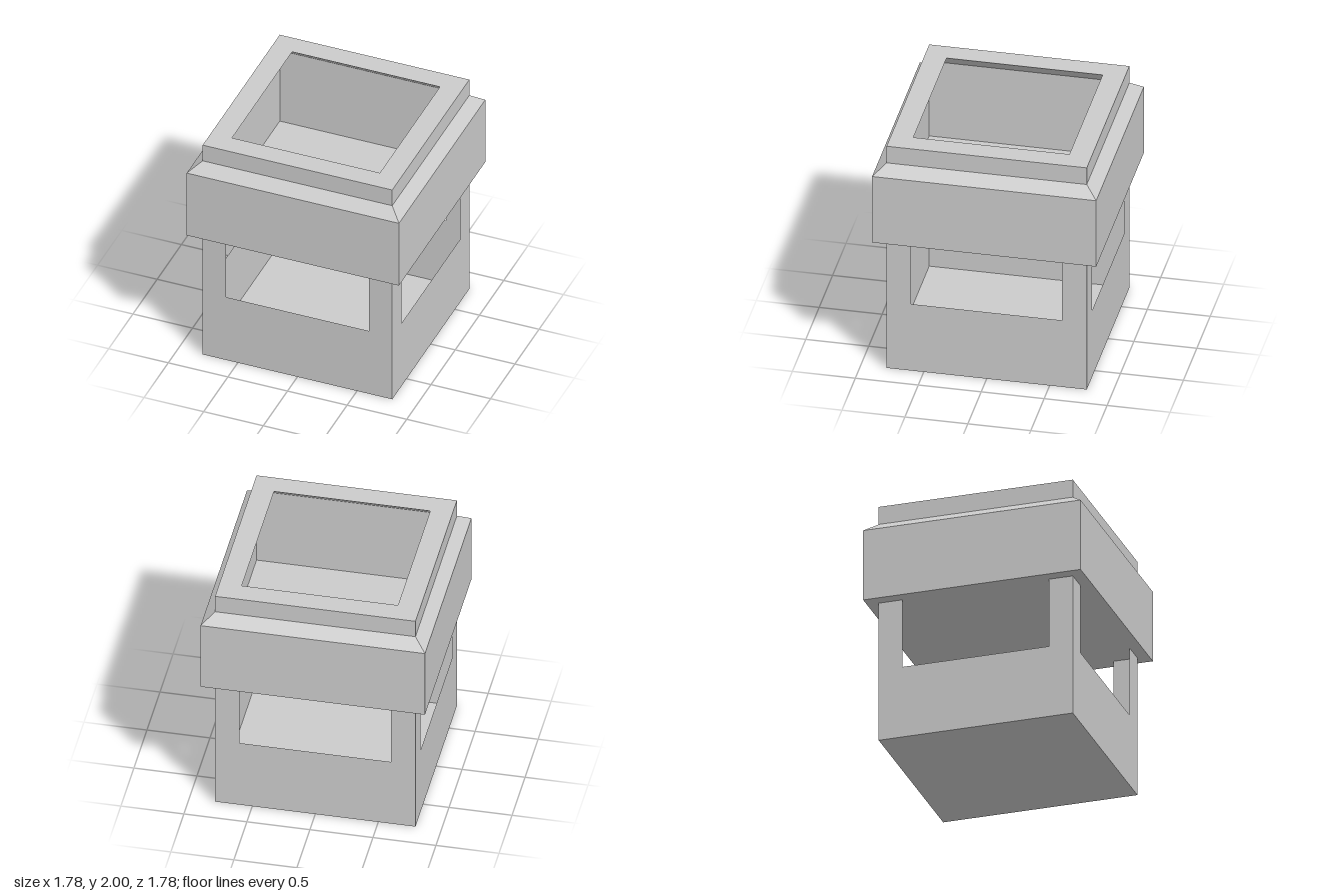
import * as THREE from 'three';

const HALF = 0.795;   // half width of the body
const OPEN = 0.6;     // half width of the windows
const SILL = 0.6;     // height of the window sills
const COLLAR = 1.175; // underside of the collar

export function createModel() {
  const group = new THREE.Group();
  const material = new THREE.MeshStandardMaterial({
    color: 0xcccccc, flatShading: true, side: THREE.DoubleSide,
  });
  const add = (name, geometry) => {
    const mesh = new THREE.Mesh(geometry, material);
    mesh.name = name;
    group.add(mesh);
    return mesh;
  };

  // Thin U-shaped wall: low panel with a post at each end
  const outline = new THREE.Shape([
    [-HALF, 0], [HALF, 0], [HALF, COLLAR], [OPEN, COLLAR],
    [OPEN, SILL], [-OPEN, SILL], [-OPEN, COLLAR], [-HALF, COLLAR],
  ].map(([x, y]) => new THREE.Vector2(x, y)));
  const wall = new THREE.ShapeGeometry(outline).translate(0, 0, HALF);
  ['frontWall', 'leftWall', 'backWall', 'rightWall'].forEach((name, i) => {
    add(name, wall).rotation.y = i * Math.PI / 2;
  });

  // Floor, facing down
  add('floor', new THREE.PlaneGeometry(2 * HALF, 2 * HALF).rotateX(Math.PI / 2));

  // Square collar: ceiling, outer face, bevel, rim, sloped lip and inner wall
  const profile = [
    [0, COLLAR], [0.89, COLLAR], [0.89, 1.77], [HALF, 1.85],
    [HALF, 2], [0.62, 2], [HALF, 1.85], [HALF, COLLAR],
  ].map(([r, y]) => new THREE.Vector2(r * Math.SQRT2, y));
  const collar = new THREE.LatheGeometry(profile, 4).rotateY(Math.PI / 4).toNonIndexed();
  collar.computeVertexNormals();
  add('collar', collar);

  return group;
}
